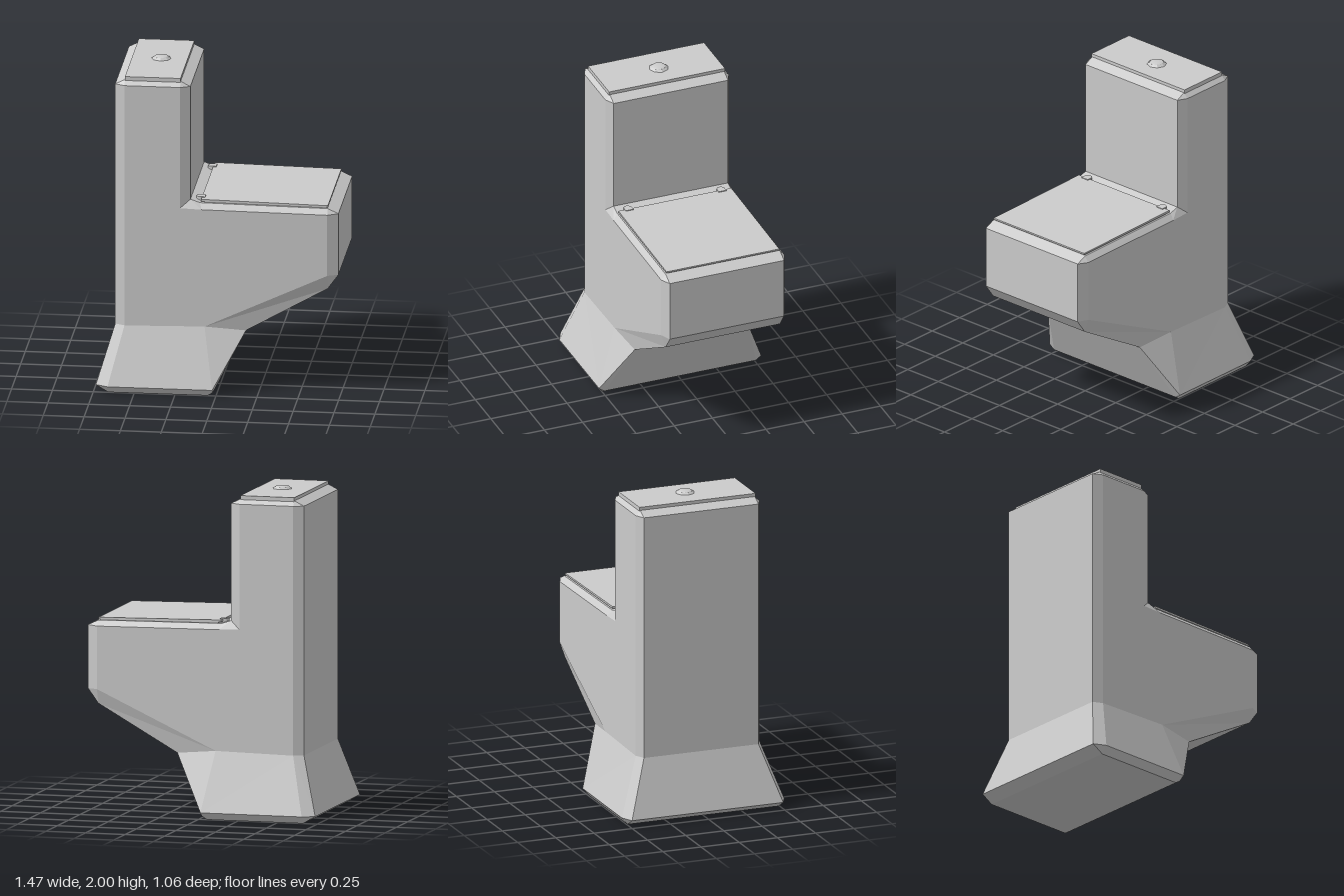
import * as THREE from 'three';

const grey = new THREE.MeshStandardMaterial({ color: 0xcccccc, flatShading: true });

function add(parent, name, geometry, x = 0, y = 0, z = 0) {
  const mesh = new THREE.Mesh(geometry, grey);
  mesh.name = name;
  mesh.position.set(x, y, z);
  parent.add(mesh);
  return mesh;
}

// Outline of the body: rim point [x, y, z] and the bevelled side point [x, y, z] beside it
const W = 0.375, S = 0.405;
const outline = [
  [[-0.63, 1.93, W], [-0.57, 1.93, S]],
  [[-0.57, 1.96, W], [-0.57, 1.93, S]],
  [[-0.23, 1.96, W], [-0.23, 1.93, S]],
  [[-0.17, 1.93, W], [-0.23, 1.93, S]],
  [[-0.17, 1.21, W], [-0.23, 1.16, S]],
  [[-0.11, 1.19, W], [-0.1, 1.155, S]],
  [[0.67, 1.18, W], [0.67, 1.147, S]],
  [[0.735, 1.15, W], [0.67, 1.147, S]],
  [[0.735, 0.76, W], [0.67, 0.76, S]],
  [[0.67, 0.67, W], [0.67, 0.76, S]],
  [[0.17, 0.385, W], [-0.08, 0.41, S]],
  [[-0.02, 0.02, 0.497], [-0.02, 0.045, 0.532]],
  [[-0.05, 0, 0.495], [-0.02, 0.045, 0.532]],
  [[-0.66, 0, 0.495], [-0.66, 0.045, 0.532]],
  [[-0.735, 0.045, 0.495], [-0.66, 0.045, 0.532]],
  [[-0.63, 0.4, W], [-0.57, 0.4, S]],
];

function bodyGeometry() {
  const positions = [];
  const flip = ([x, y, z]) => [x, y, -z];
  const same = (a, b) => a.every((v, i) => v === b[i]);
  const tri = (a, b, c) => {
    if (!same(a, b) && !same(b, c) && !same(a, c)) positions.push(...a, ...b, ...c);
  };
  const bothSides = (a, b, c) => {
    tri(a, b, c);
    tri(flip(a), flip(c), flip(b));
  };
  // Centre strip and bevels
  outline.forEach(([p, q], i) => {
    const [p2, q2] = outline[(i + 1) % outline.length];
    tri(flip(p), p, p2);
    tri(flip(p), p2, flip(p2));
    bothSides(p, q, q2);
    bothSides(p, q2, p2);
  });
  // Flat sides of tank and bowl
  const side = [15, 10, 8, 6, 5, 4, 2, 0].map(i => outline[i][1]);
  const flat = side.map(([x, y]) => new THREE.Vector2(x, y));
  for (const [a, b, c] of THREE.ShapeUtils.triangulateShape(flat, [])) {
    const ccw = THREE.ShapeUtils.area([flat[a], flat[b], flat[c]]) > 0;
    bothSides(side[a], side[ccw ? b : c], side[ccw ? c : b]);
  }
  // Flared sides of the foot
  const [a, b, c, d] = [15, 13, 11, 10].map(i => outline[i][1]);
  bothSides(a, b, c);
  bothSides(a, c, d);
  const geometry = new THREE.BufferGeometry();
  geometry.setAttribute('position', new THREE.Float32BufferAttribute(positions, 3));
  geometry.computeVertexNormals();
  return geometry;
}

// Slab with an x-y profile, extruded evenly about z = 0
function slab(points, width) {
  const shape = new THREE.Shape(points.map(p => new THREE.Vector2(...p)));
  const geometry = new THREE.ExtrudeGeometry(shape, { depth: width, bevelEnabled: false });
  return geometry.translate(0, 0, -width / 2);
}

export function createModel() {
  const toilet = new THREE.Group();
  toilet.name = 'toilet';
  add(toilet, 'body', bodyGeometry());

  // Tank lid and flush button
  add(toilet, 'tankLid', new THREE.BoxGeometry(0.34, 0.03, 0.76), -0.4, 1.965, 0);
  const button = new THREE.Group();
  button.name = 'flushButton';
  button.position.set(-0.39, 1.98, -0.01);
  toilet.add(button);
  add(button, 'buttonRing', new THREE.CylinderGeometry(0.045, 0.06, 0.012, 8), 0, 0.006, 0);
  const dome = new THREE.SphereGeometry(0.045, 16, 4, 0, Math.PI * 2, 0, Math.PI / 2);
  add(button, 'buttonDome', dome, 0, 0.01, 0).scale.y = 0.22;

  // Seat and its cover, both sloping slightly to the front
  add(toilet, 'seat', slab([[-0.085, 1.17], [0.66, 1.17], [0.66, 1.188], [-0.085, 1.198]], 0.725));
  add(toilet, 'seatCover', slab([[-0.105, 1.197], [0.67, 1.187], [0.67, 1.197], [-0.105, 1.21]], 0.74));

  // Round-ended hinges
  for (const s of [-1, 1]) {
    const hinge = new THREE.Group();
    hinge.name = s > 0 ? 'leftHinge' : 'rightHinge';
    hinge.position.set(-0.115, 1.197, s * 0.305);
    toilet.add(hinge);
    add(hinge, 'hingeEnd', new THREE.CylinderGeometry(0.025, 0.025, 0.034, 12));
    add(hinge, 'hingeArm', new THREE.BoxGeometry(0.03, 0.034, 0.05), 0.015, 0, 0);
  }
  return toilet;
}
